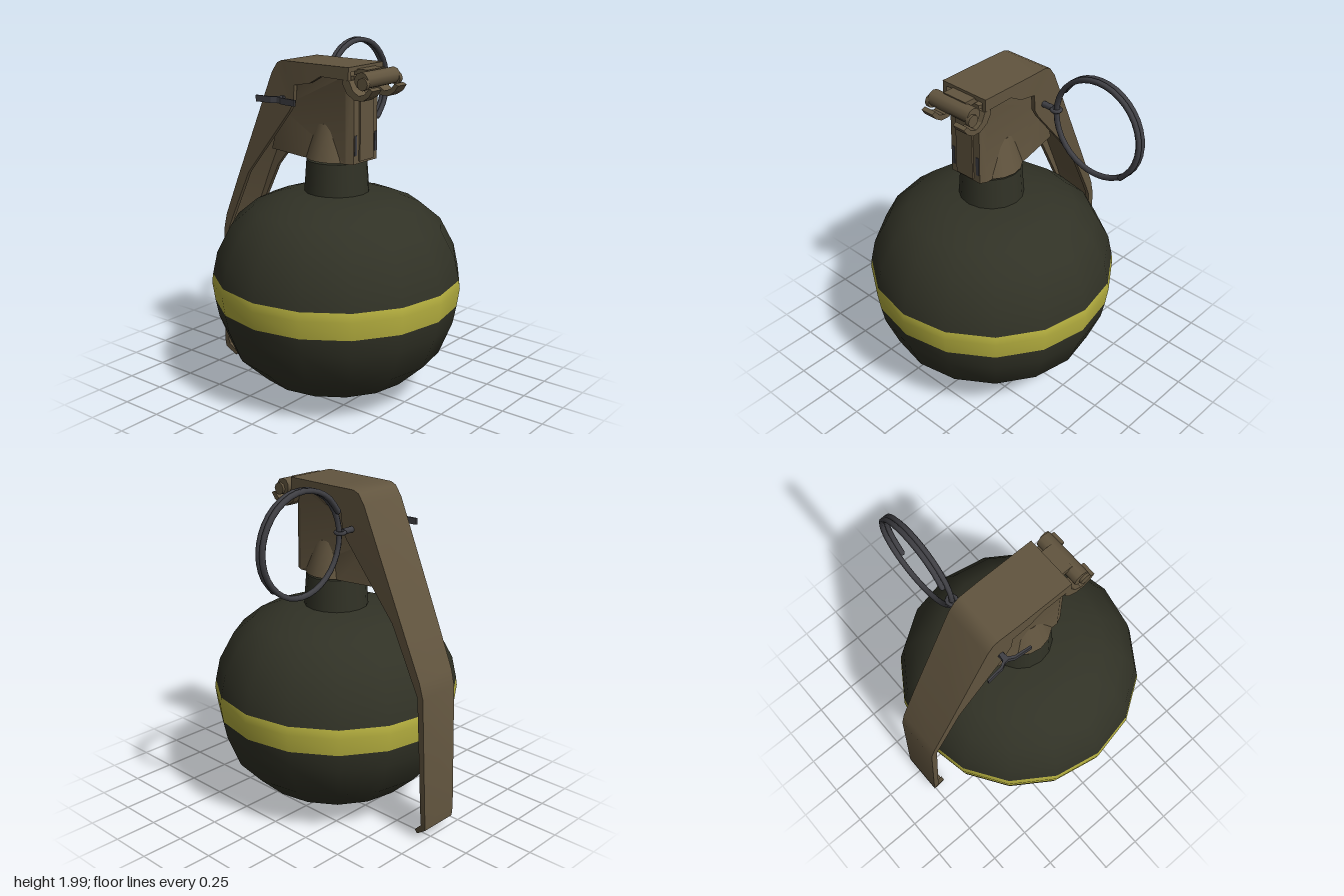
import * as THREE from 'three';
import { toCreasedNormals } from 'three/addons/utils/BufferGeometryUtils.js';

const olive = new THREE.MeshStandardMaterial({ color: 0x313226 });
olive.name = 'darkOlive';
const brown = new THREE.MeshStandardMaterial({ color: 0x62553f });
brown.name = 'fieldBrown';
const yellow = new THREE.MeshStandardMaterial({ color: 0xb8b240 });
yellow.name = 'bandYellow';
const steel = new THREE.MeshStandardMaterial({ color: 0x404045 });
steel.name = 'darkSteel';

const CX = 0.04, CZ = 0.05; // axis of the round body
const v2 = (p) => new THREE.Vector2(...p);

function add(group, name, geometry, material, x = 0, y = 0, z = 0) {
  const mesh = new THREE.Mesh(geometry, material);
  mesh.name = name;
  mesh.position.set(x, y, z);
  group.add(mesh);
  return mesh;
}

// Round body: one smooth lathe, with the band's rows in yellow
function bodyGeometry() {
  const profile = [[0, 0.005], [0.25, 0.035], [0.45, 0.13], [0.61, 0.28], [0.685, 0.47], [0.705, 0.575],
    [0.72, 0.68], [0.713, 0.73], [0.685, 0.86], [0.6, 1.02], [0.48, 1.12], [0.36, 1.17], [0.27, 1.195], [0.15, 1.21]];
  const sides = 16, rows = profile.length - 1;
  const geo = new THREE.LatheGeometry(profile.map(v2), sides);
  for (let i = 0; i < sides; i++) {
    const start = i * rows * 6;
    geo.addGroup(start, 5 * 6, 0);
    geo.addGroup(start + 5 * 6, 2 * 6, 1);
    geo.addGroup(start + 7 * 6, (rows - 7) * 6, 0);
  }
  return geo;
}

// Lever: a U-channel through stations [outer x, outer y, flange x, flange y, half width]
function leverGeometry() {
  const stations = [
    [0.24, 1.93, 0.24, 1.86, 0.155], [0.05, 1.93, 0.05, 1.865, 0.155], [-0.1, 1.93, -0.03, 1.82, 0.155],
    [-0.23, 1.93, -0.14, 1.8, 0.152], [-0.265, 1.915, -0.15, 1.7, 0.15], [-0.305, 1.86, -0.18, 1.65, 0.15],
    [-0.595, 1.21, -0.51, 1.25, 0.143], [-0.705, 0.96, -0.655, 0.95, 0.138], [-0.73, 0.87, -0.692, 0.87, 0.135],
    [-0.765, 0.13, -0.733, 0.13, 0.125], [-0.763, 0.075, -0.733, 0.1, 0.12], [-0.695, 0.025, -0.678, 0.045, 0.105]];
  const loops = stations.map(([px, py, qx, qy, w]) => {
    const len = Math.hypot(qx - px, qy - py);
    const k = Math.min(0.025, len * 0.6) / len, t = 0.025;
    const rx = px + (qx - px) * k, ry = py + (qy - py) * k;
    const half = [[px, py, w], [qx, qy, w], [qx, qy, w - t], [rx, ry, w - t]];
    return [...half, ...half.map(([x, y, z]) => [x, y, -z]).reverse()];
  });
  const pos = [];
  const quad = (a, b, c, d) => [a, b, c, a, c, d].forEach((p) => pos.push(...p));
  for (let s = 0; s < loops.length - 1; s++) {
    for (let j = 0; j < 8; j++) {
      const n = (j + 1) % 8;
      quad(loops[s][j], loops[s + 1][j], loops[s + 1][n], loops[s][n]);
    }
  }
  const first = loops[0], last = loops[loops.length - 1];
  for (const [a, b, c, d] of [[0, 1, 2, 3], [0, 3, 4, 7], [4, 5, 6, 7]]) {
    quad(first[a], first[b], first[c], first[d]);
    quad(last[d], last[c], last[b], last[a]);
  }
  const geo = new THREE.BufferGeometry();
  geo.setAttribute('position', new THREE.Float32BufferAttribute(pos, 3));
  return toCreasedNormals(geo, 0.6);
}

// Fuse head: a side outline with thickness, narrowing towards the lever
function headGeometry() {
  const outline = [[-0.39, 1.397], [-0.1, 1.397], [0.2, 1.397], [0.24, 1.397], [0.24, 1.88], [0.2, 1.88],
    [-0.1, 1.88], [-0.22, 1.88], [-0.3, 1.65]];
  const geo = new THREE.ExtrudeGeometry(new THREE.Shape(outline.map(v2)), { depth: 2, bevelEnabled: false });
  const p = geo.attributes.position;
  for (let i = 0; i < p.count; i++) {
    const x = p.getX(i);
    const w = x < -0.1 ? THREE.MathUtils.mapLinear(x, -0.39, -0.1, 0.065, 0.125) : x > 0.21 ? 0.105 : 0.125;
    p.setZ(i, (p.getZ(i) - 1) * w);
  }
  geo.computeVertexNormals();
  return toCreasedNormals(geo, 0.5);
}

// Curled hook that carries the hinge roll
function hookGeometry(depth) {
  const s = new THREE.Shape();
  s.moveTo(0.2, 1.84);
  for (const [x, y] of [[0.23, 1.79], [0.28, 1.76], [0.335, 1.76], [0.375, 1.785], [0.4, 1.82], [0.375, 1.83],
    [0.35, 1.8], [0.31, 1.785], [0.27, 1.81], [0.245, 1.86], [0.2, 1.86]]) s.lineTo(x, y);
  return new THREE.ExtrudeGeometry(s, { depth, bevelEnabled: false });
}

export function createModel() {
  const model = new THREE.Group();
  model.name = 'grenade';

  add(model, 'body', bodyGeometry(), [olive, yellow], CX, 0, CZ);
  add(model, 'neck', new THREE.CylinderGeometry(0.172, 0.186, 0.195, 16), olive, CX, 1.29, CZ);

  // Fuse head with its flared collar
  const head = new THREE.Group();
  head.name = 'fuseHead';
  head.position.z = CZ;
  model.add(head);
  add(head, 'headBlock', headGeometry(), brown);
  add(head, 'headCollar', new THREE.CylinderGeometry(0.115, 0.175, 0.2, 16), brown, CX, 1.497, 0);
  add(head, 'faceRib', new THREE.BoxGeometry(0.02, 0.42, 0.12), brown, 0.24, 1.62, 0);
  for (const side of [-1, 1]) {
    add(head, 'cornerSlot', new THREE.BoxGeometry(0.008, 0.11, 0.02), steel, 0.24, 1.5, side * 0.09);
  }

  add(model, 'safetyLever', leverGeometry(), brown, 0, 0, CZ);

  // Hinge at the top: a roll, two hooks and end ears
  const hinge = new THREE.Group();
  hinge.name = 'hinge';
  hinge.position.z = CZ;
  model.add(hinge);
  const roll = add(hinge, 'hingeRoll', new THREE.CylinderGeometry(0.046, 0.046, 0.29, 10), brown, 0.318, 1.865, 0);
  roll.rotation.x = Math.PI / 2;
  add(hinge, 'hingeTongue', new THREE.BoxGeometry(0.09, 0.03, 0.16), brown, 0.265, 1.9, 0);
  for (const side of [-1, 1]) {
    add(hinge, 'hingeHook', hookGeometry(0.08), brown, 0, 0, side * 0.115 - 0.04);
    const ear = add(hinge, 'hingeEar', new THREE.CylinderGeometry(0.035, 0.035, 0.025, 8), brown, 0.335, 1.85, side * 0.147);
    ear.rotation.x = Math.PI / 2;
  }

  // Pin through the head, its eye and the splayed ends
  const pin = new THREE.Group();
  pin.name = 'safetyPin';
  pin.position.set(-0.22, 1.715, 0);
  model.add(pin);
  const shaft = add(pin, 'pinShaft', new THREE.CylinderGeometry(0.018, 0.018, 0.42, 8), steel, 0, 0, 0.04);
  shaft.rotation.x = Math.PI / 2;
  const eye = add(pin, 'pinEye', new THREE.TorusGeometry(0.026, 0.011, 6, 10), steel, 0, 0, -0.19);
  eye.rotation.x = Math.PI / 2;
  for (const side of [-1, 1]) {
    const s = new THREE.Shape([[0, 0.2], [0.012, 0.2], [0.016, 0.235], [0.045, 0.253], [0.142, 0.264],
      [0.142, 0.275], [0.04, 0.266], [0, 0.245]].map(([x, z]) => new THREE.Vector2(side * x, -z)));
    const leg = add(pin, 'pinLeg', new THREE.ExtrudeGeometry(s, { depth: 0.036, bevelEnabled: false }), steel, 0, -0.018, 0);
    leg.rotation.x = -Math.PI / 2;
  }

  // Pull ring: a split ring of overlapping coils
  const points = [];
  for (let i = 0; i <= 28; i++) {
    const a = 0.5 + (i / 18) * Math.PI * 2;
    points.push(new THREE.Vector3(-0.242 + (i / 28) * 0.042, 1.705 + 0.28 * Math.sin(a), -0.475 + 0.28 * Math.cos(a)));
  }
  const coil = new THREE.CatmullRomCurve3(points);
  add(model, 'pullRing', new THREE.TubeGeometry(coil, 56, 0.016, 6), steel);
  for (const t of [0, 1]) {
    const end = coil.getPoint(t);
    add(model, 'ringEnd', new THREE.SphereGeometry(0.016, 6, 5), steel, end.x, end.y, end.z);
  }
  return model;
}
